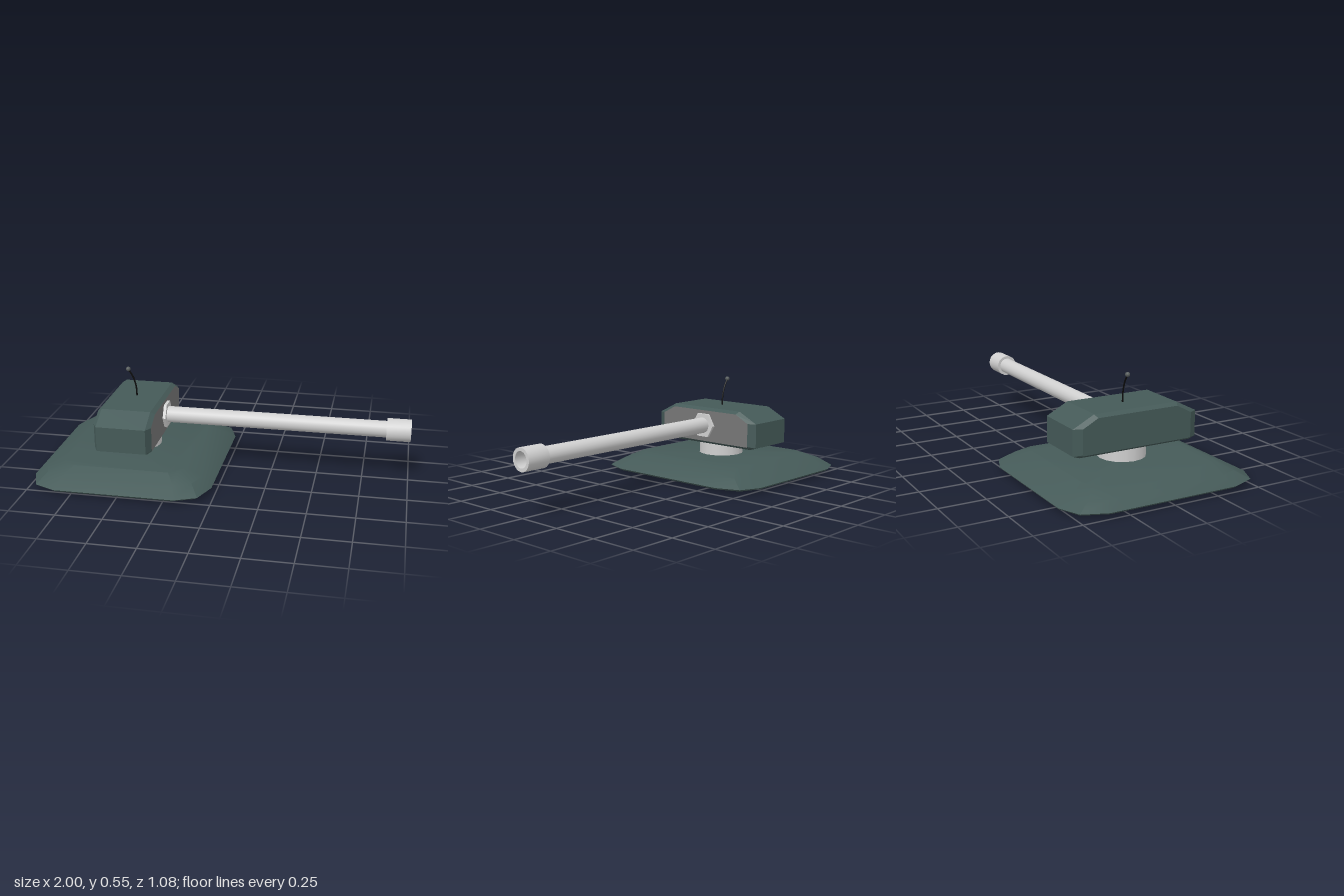
import * as THREE from 'three';
import { toCreasedNormals } from 'three/addons/utils/BufferGeometryUtils.js';

const mat = (name, color, opts = {}) => Object.assign(new THREE.MeshStandardMaterial({ color, ...opts }), { name });

// Skin closed rings (counter-clockwise about the travel direction).
// Group 0: sides and start cap, group 1: end cap.
function loft(rings) {
  const n = rings[0].length, last = (rings.length - 1) * n, index = [];
  for (let r = 0; r < rings.length - 1; r++) {
    for (let j = 0; j < n; j++) {
      const a = r * n + j, b = r * n + (j + 1) % n;
      index.push(a, b, b + n, a, b + n, a + n);
    }
  }
  for (let j = 1; j < n - 1; j++) index.push(0, j + 1, j);
  const sides = index.length;
  for (let j = 1; j < n - 1; j++) index.push(last, last + j, last + j + 1);
  const g = new THREE.BufferGeometry();
  g.setAttribute('position', new THREE.Float32BufferAttribute(rings.flat(2), 3));
  g.setIndex(index);
  const flat = g.toNonIndexed();
  flat.computeVertexNormals();
  flat.addGroup(0, sides, 0);
  flat.addGroup(sides, index.length - sides, 1);
  return flat;
}

// Rounded rectangle ring with two cuts at every corner
function baseRing(y, hx, hz, cut) {
  const corner = [[hx - 0.165 * cut, hz], [hx - 0.05 * cut, hz - 0.05 * cut], [hx, hz - 0.18 * cut]];
  const back = [...corner].reverse();
  return [
    ...corner.map(([x, z]) => [x, y, z]),
    ...back.map(([x, z]) => [x, y, -z]),
    ...corner.map(([x, z]) => [-x, y, -z]),
    ...back.map(([x, z]) => [-x, y, z]),
  ];
}

// Turret section: half profile of [y, z] mirrored in z
function turretRing(x, half) {
  return [
    ...half.map(([y, z]) => [x, y, z]),
    ...[...half].reverse().map(([y, z]) => [x, y, -z]),
  ];
}

export function createModel() {
  const armour = mat('armour green', 0x455a58);
  const panel = mat('panel grey', 0x767676);
  const metal = mat('light metal', 0xd0d0d0);
  const black = mat('black', 0x0b0b0b);
  const tip = mat('antenna tip grey', 0x555b5b);
  const model = new THREE.Group();
  model.name = 'turretGun';
  const CX = -0.51, GUN_Y = 0.29;

  const add = (name, geometry, material, x = 0, y = 0, z = 0) => {
    const m = new THREE.Mesh(geometry, material);
    m.name = name;
    m.position.set(x, y, z);
    model.add(m);
    return m;
  };

  // Sloped base plate
  const base = loft([
    baseRing(0.02, 0.48, 0.53, 1),
    baseRing(0.03, 0.49, 0.538, 1),
    baseRing(0.075, 0.435, 0.455, 0.8),
    baseRing(0.11, 0.335, 0.38, 0.45),
  ]);
  base.clearGroups();
  add('basePlate', toCreasedNormals(base, 0.4), armour, CX);

  // Pedestal passing through the base
  add('pedestal', new THREE.CylinderGeometry(0.128, 0.128, 0.2, 16), metal, CX, 0.1);

  // Bevelled turret with a grey gun face
  const full = [[0.39, 0.24], [0.33, 0.358], [0.193, 0.358], [0.18, 0.32]];
  const inset = [[0.375, 0.23], [0.33, 0.315], [0.2, 0.315], [0.195, 0.31]];
  add('turret', loft([
    turretRing(-0.668, inset),
    turretRing(-0.645, full),
    turretRing(-0.375, full),
    turretRing(-0.352, inset),
  ]), [armour, panel]);

  // Hexagonal gun collar
  const collar = new THREE.CylinderGeometry(0.076, 0.076, 0.02, 6).toNonIndexed();
  collar.computeVertexNormals();
  collar.rotateZ(-Math.PI / 2);
  add('gunCollar', collar, metal, -0.346, GUN_Y);

  // Barrel, muzzle ring and hollow bore turned in one profile
  const profile = [
    [0.045, -0.352], [0.045, 0.87], [0.061, 0.87], [0.061, 1], [0.043, 1], [0.043, 0.5],
  ].map(([r, x]) => new THREE.Vector2(r, x));
  const barrel = toCreasedNormals(new THREE.LatheGeometry(profile, 20), 0.6);
  barrel.rotateZ(-Math.PI / 2);
  add('barrel', barrel, metal, 0, GUN_Y);

  // Dark end of the bore
  const bore = new THREE.CircleGeometry(0.043, 20);
  bore.rotateY(Math.PI / 2);
  add('bore', bore, black, 0.51, GUN_Y);

  // Curved antenna with a ball tip
  const curve = new THREE.CatmullRomCurve3([
    new THREE.Vector3(-0.515, 0.385, 0),
    new THREE.Vector3(-0.518, 0.44, 0),
    new THREE.Vector3(-0.533, 0.495, 0),
    new THREE.Vector3(-0.56, 0.54, 0),
  ]);
  add('antenna', new THREE.TubeGeometry(curve, 12, 0.0045, 6), black);
  add('antennaTip', new THREE.SphereGeometry(0.013, 12, 8), tip, -0.56, 0.541);

  return model;
}
